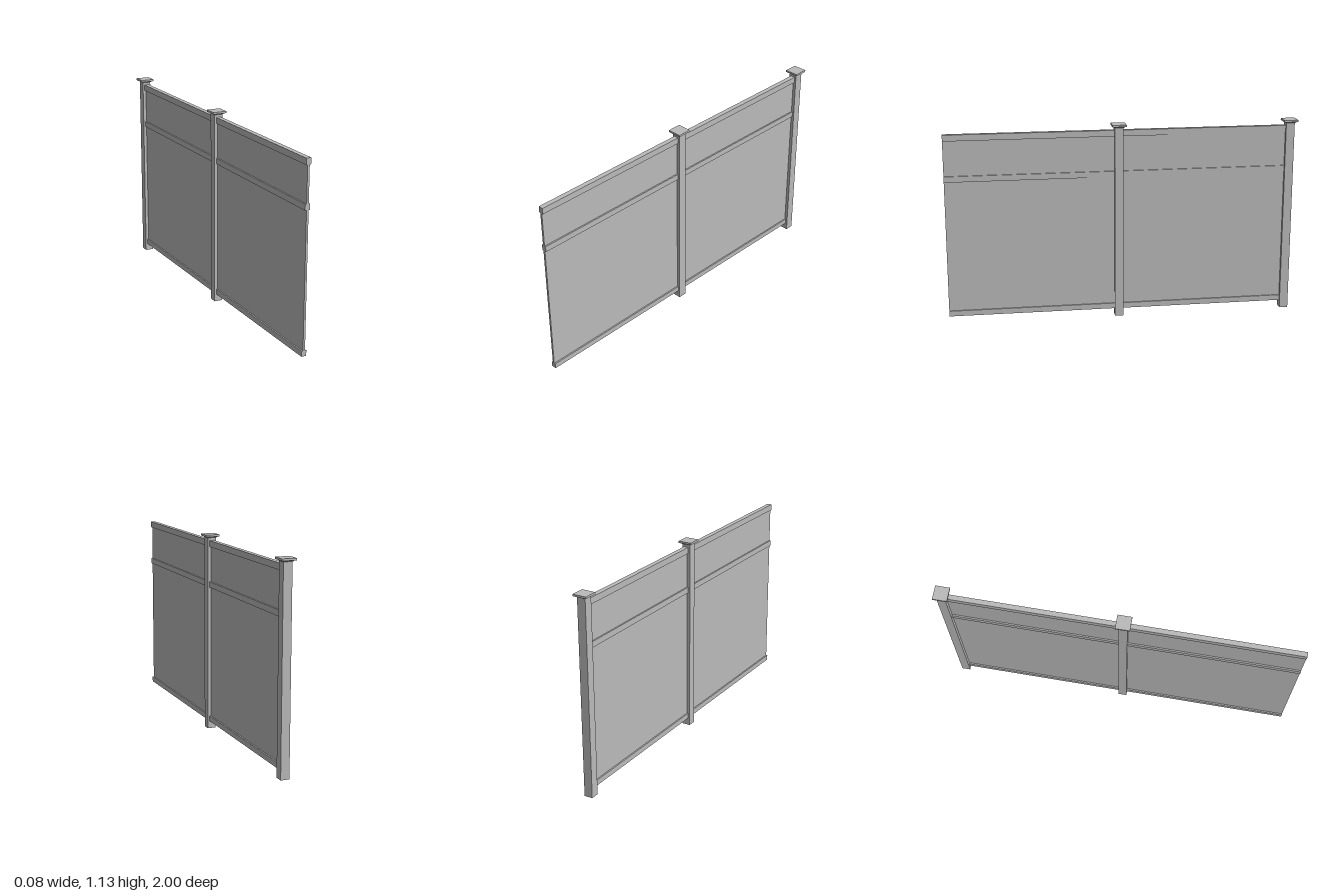
import * as THREE from 'three';

export function createModel() {
  const model = new THREE.Group();
  model.name = 'fence';
  const grey = new THREE.MeshStandardMaterial({ color: 0xbababa });
  grey.name = 'grey';

  const add = (name, geometry, x, y, z, parent = model) => {
    const mesh = new THREE.Mesh(geometry, grey);
    mesh.name = name;
    mesh.position.set(x, y, z);
    parent.add(mesh);
  };

  const squarePath = (path, h) => {
    path.moveTo(-h, -h).lineTo(h, -h).lineTo(h, h).lineTo(-h, h).closePath();
    return path;
  };

  // Hollow square post, open at the foot
  const postShape = squarePath(new THREE.Shape(), 0.0245);
  postShape.holes.push(squarePath(new THREE.Path(), 0.0225));
  const postGeometry = new THREE.ExtrudeGeometry(postShape, { depth: 1.112, bevelEnabled: false });
  postGeometry.rotateX(-Math.PI / 2);

  // Cap: flared collar below a square plate with a very low pyramid
  const frustum = (top, bottom, height) => {
    const g = new THREE.CylinderGeometry(top * Math.SQRT2, bottom * Math.SQRT2, height, 4).toNonIndexed();
    g.rotateY(Math.PI / 4);
    g.computeVertexNormals();
    return g;
  };

  for (const z of [0.023, -0.96]) {
    const post = new THREE.Group();
    post.name = 'post';
    post.position.z = z;
    model.add(post);
    add('postShaft', postGeometry, 0, 0, 0, post);
    add('capCollar', frustum(0.034, 0.0255, 0.007), 0, 1.1135, 0, post);
    add('capPlate', new THREE.BoxGeometry(0.08, 0.011, 0.08), 0, 1.1225, 0, post);
  }

  // Two bays, each with three rails and a thin infill panel
  const rails = [['topRail', 1.06, 1.095], ['middleRail', 0.828, 0.861], ['bottomRail', 0.043, 0.074]];
  for (const [z0, z1] of [[0.0475, 1], [-0.9355, -0.0015]]) {
    const length = z1 - z0;
    const z = (z0 + z1) / 2;
    for (const [name, y0, y1] of rails) {
      add(name, new THREE.BoxGeometry(0.028, y1 - y0, length), 0, (y0 + y1) / 2, z);
    }
    add('upperPanel', new THREE.BoxGeometry(0.012, 0.199, length), 0, 0.9605, z);
    add('lowerPanel', new THREE.BoxGeometry(0.012, 0.754, length), 0, 0.451, z);
  }
  return model;
}
